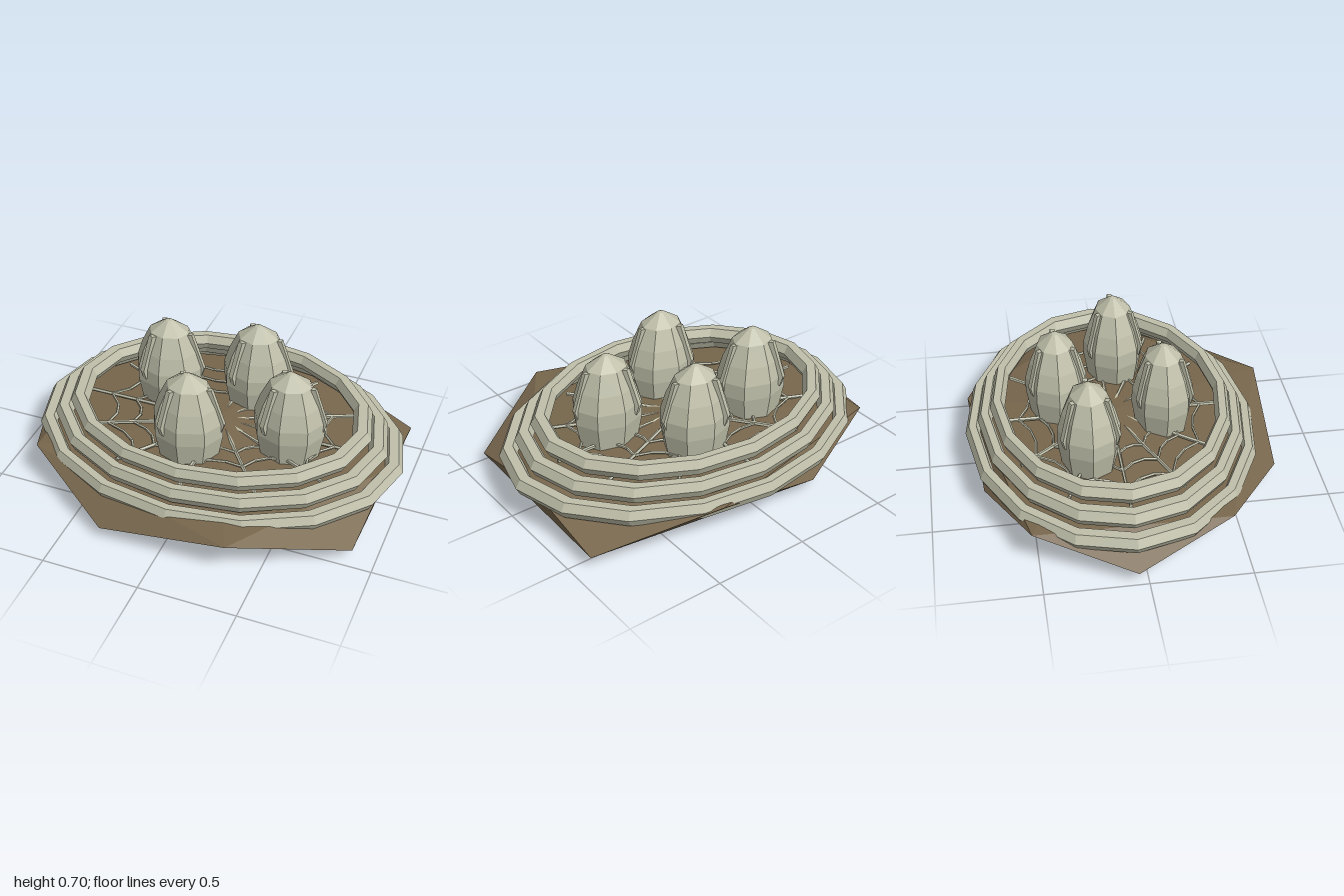
import * as THREE from 'three';

const stone = new THREE.MeshStandardMaterial({ color: 0xbfbfaa, flatShading: true });
stone.name = 'pale stone';
const earth = new THREE.MeshStandardMaterial({ color: 0x78674d, flatShading: true });
earth.name = 'brown earth';

const CX = 0.015, CZ = -0.05, SQUASH = 0.765;

function add(parent, geometry, material, name) {
  const mesh = new THREE.Mesh(geometry, material);
  mesh.name = name;
  parent.add(mesh);
  return mesh;
}

// Straight strand between two points
function strand(parent, a, b, radius, name) {
  const mesh = add(parent, new THREE.CylinderGeometry(radius, radius, a.distanceTo(b), 5), stone, name);
  mesh.position.copy(a).add(b).multiplyScalar(0.5);
  mesh.quaternion.setFromUnitVectors(new THREE.Vector3(0, 1, 0), b.clone().sub(a).normalize());
}

// Irregular flattened twenty-faced rock: two staggered rings of five plus two tips
function rockGeometry() {
  const low = [[0.89, 0.46], [-0.31, 0.76], [-1, -0.05], [-0.31, -0.73], [0.915, -0.57]];
  const high = [[0.36, 0.795], [-0.81, 0.435], [-0.81, -0.53], [0.3, -0.775], [0.93, -0.05]];
  const L = low.map(([x, z]) => [x, 0.07, z]);
  const H = high.map(([x, z]) => [x, 0.2, z]);
  const top = [0, 0.27, -0.05], bottom = [0.01, 0, -0.04];
  const p = [];
  for (let i = 0; i < 5; i++) {
    const j = (i + 1) % 5;
    p.push(...top, ...H[j], ...H[i]);
    p.push(...bottom, ...L[i], ...L[j]);
    p.push(...L[i], ...H[i], ...L[j]);
    p.push(...H[i], ...H[j], ...L[j]);
  }
  const g = new THREE.BufferGeometry();
  g.setAttribute('position', new THREE.Float32BufferAttribute(p, 3));
  g.computeVertexNormals();
  return g;
}

// Faceted pod with three slanting ribs
function makePod(x, z) {
  const pod = new THREE.Group();
  pod.name = 'pod';
  const profile = [[0.16, 0.22], [0.187, 0.36], [0.186, 0.44], [0.158, 0.53], [0.108, 0.635], [0.02, 0.695], [0, 0.7]]
    .map(([r, y]) => new THREE.Vector2(r, y));
  add(pod, new THREE.LatheGeometry(profile, 8), stone, 'podShell');
  for (let i = 0; i < 3; i++) {
    const rib = new THREE.Group();
    rib.name = 'podRib';
    rib.rotation.y = i * Math.PI * 2 / 3;
    const outline = new THREE.Shape([[0.1, 0.63], [0.13, 0.635], [0.197, 0.44], [0.18, 0.385], [0.15, 0.42]]
      .map(([r, y]) => new THREE.Vector2(r, y)));
    const blade = add(rib, new THREE.ExtrudeGeometry(outline, { depth: 0.028, bevelEnabled: false }), stone, 'ribBlade');
    blade.position.z = -0.014;
    pod.add(rib);
  }
  pod.position.set(x, 0, z);
  pod.scale.z = 0.84;
  return pod;
}

export function createModel() {
  const model = new THREE.Group();
  model.name = 'podNest';
  add(model, rockGeometry(), earth, 'rockBase');

  // Oval parts share one centre and squash
  const oval = new THREE.Group();
  oval.name = 'ovalNest';
  oval.position.set(CX, 0, CZ);
  oval.scale.z = SQUASH;
  model.add(oval);

  // Three stacked rim rings
  [[0.93, 0.19], [0.843, 0.267], [0.755, 0.342]].forEach(([r, y]) => {
    const ring = add(oval, new THREE.TorusGeometry(r, 0.05, 6, 16), stone, 'rimRing');
    ring.rotation.x = Math.PI / 2;
    ring.position.y = y;
  });

  // Web of spokes and sagging cross threads
  const web = new THREE.Group();
  web.name = 'web';
  oval.add(web);
  const at = (r, a) => new THREE.Vector3(r * Math.cos(a), 0.25, r * Math.sin(a));
  const step = Math.PI / 6;
  for (let i = 0; i < 12; i++) {
    const a = i * step;
    strand(web, at(0, a), at(0.74, a), 0.011, 'webSpoke');
    [0.62, 0.48, 0.34].forEach((r) => {
      const pts = [at(r, a), at(r * 0.9, a + step * 0.33), at(r * 0.9, a + step * 0.67), at(r, a + step)];
      for (let k = 0; k < 3; k++) strand(web, pts[k], pts[k + 1], 0.008, 'webThread');
    });
  }

  // Four pods
  [[-0.33, -0.2], [0.12, -0.315], [0.41, 0.02], [-0.06, 0.21]].forEach(([x, z]) => model.add(makePod(x, z)));
  return model;
}
